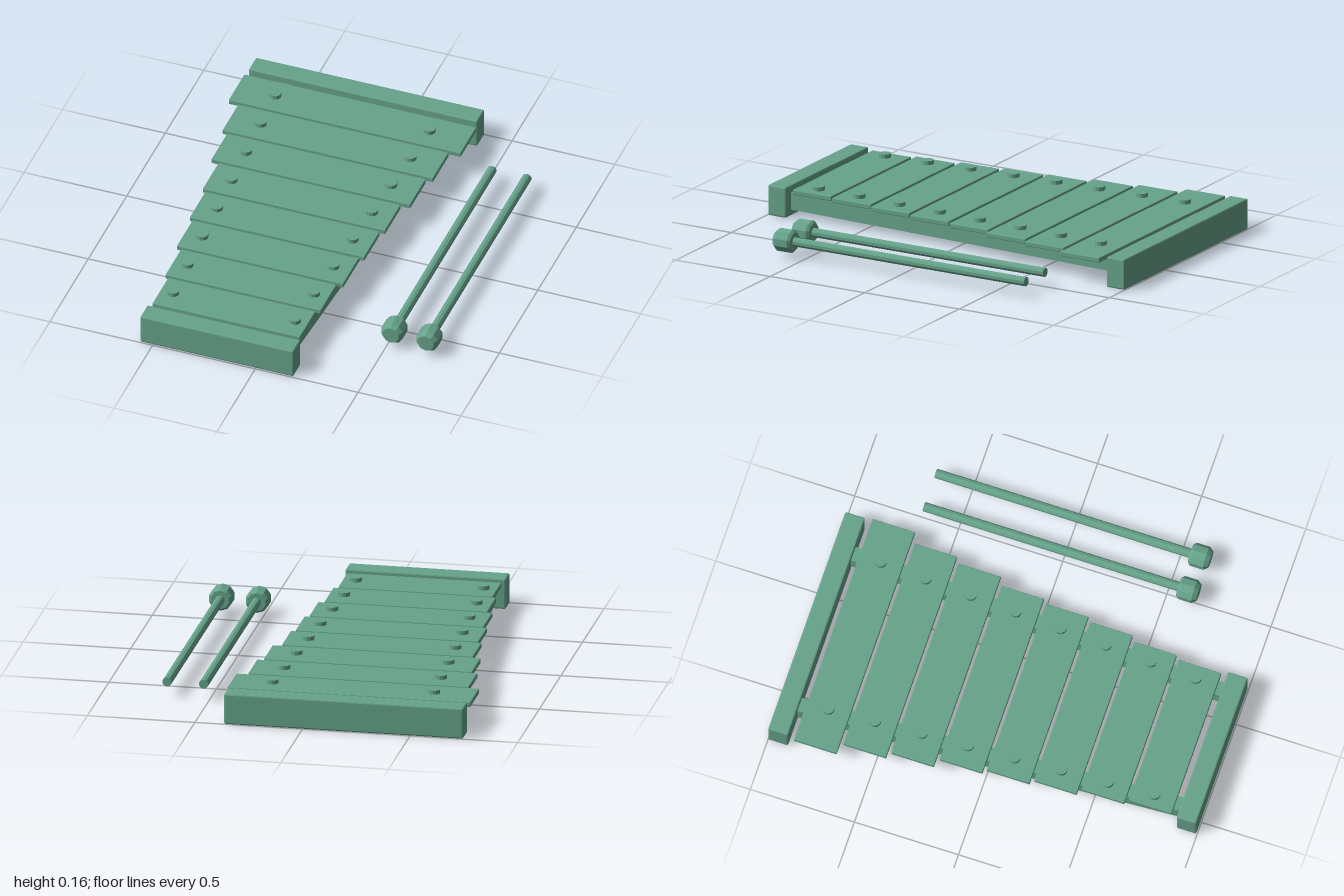
import * as THREE from 'three';
import { RoundedBoxGeometry } from 'three/addons/geometries/RoundedBoxGeometry.js';

export function createModel() {
  const model = new THREE.Group();
  model.name = 'xylophone';
  const material = new THREE.MeshStandardMaterial({ color: 0x66a38a, flatShading: true });
  const add = (name, geometry, x, y, z, parent = model) => {
    const mesh = new THREE.Mesh(geometry, material);
    mesh.name = name;
    mesh.position.set(x, y, z);
    parent.add(mesh);
    return mesh;
  };
  const centreX = -0.19;

  // End blocks with softened edges
  add('backBlock', new RoundedBoxGeometry(1.112, 0.145, 0.095, 1, 0.007), centreX, 0.0725, -0.952);
  add('frontBlock', new RoundedBoxGeometry(0.745, 0.145, 0.095, 1, 0.007), centreX, 0.0725, 0.948);

  // Converging side rails: boxes sheared along their length
  const spread = (z) => 0.339 - 0.0515 * z;
  for (const side of [-1, 1]) {
    const rail = new THREE.BoxGeometry(0.068, 0.08, 1.83);
    const p = rail.attributes.position;
    for (let i = 0; i < p.count; i++) {
      p.setX(i, p.getX(i) + side * spread(p.getZ(i)));
    }
    rail.computeVertexNormals();
    add(side < 0 ? 'rightRail' : 'leftRail', rail, centreX, 0.07, 0);
  }

  // Tone bars, each held by two pegs
  const widths = [1.13, 1.025, 0.968, 0.888, 0.85, 0.81, 0.757, 0.718];
  widths.forEach((width, i) => {
    const z = -0.77 + i * 0.22;
    add('toneBar', new RoundedBoxGeometry(width, 0.024, 0.205, 1, 0.004), centreX, 0.125, z);
    for (const side of [-1, 1]) {
      const x = centreX + side * (0.336 - 0.0515 * z);
      add('peg', new THREE.CylinderGeometry(0.028, 0.028, 0.045, 12), x, 0.133, z);
    }
  });

  // Two mallets lying beside the frame, heads toward the front
  const headProfile = [
    [0, 0], [0.044, 0], [0.055, 0.012], [0.055, 0.075], [0.04, 0.095], [0, 0.095],
  ].map(([r, h]) => new THREE.Vector2(r, h));
  for (const x of [0.525, 0.695]) {
    const mallet = new THREE.Group();
    mallet.name = 'mallet';
    mallet.position.set(x, 0.077, 0);
    model.add(mallet);
    const stick = add('stick', new THREE.CylinderGeometry(0.022, 0.022, 1.24, 10), 0, 0, -0.055, mallet);
    const head = add('malletHead', new THREE.LatheGeometry(headProfile, 10), 0, 0, 0.55, mallet);
    stick.rotation.x = head.rotation.x = Math.PI / 2;
  }

  return model;
}
